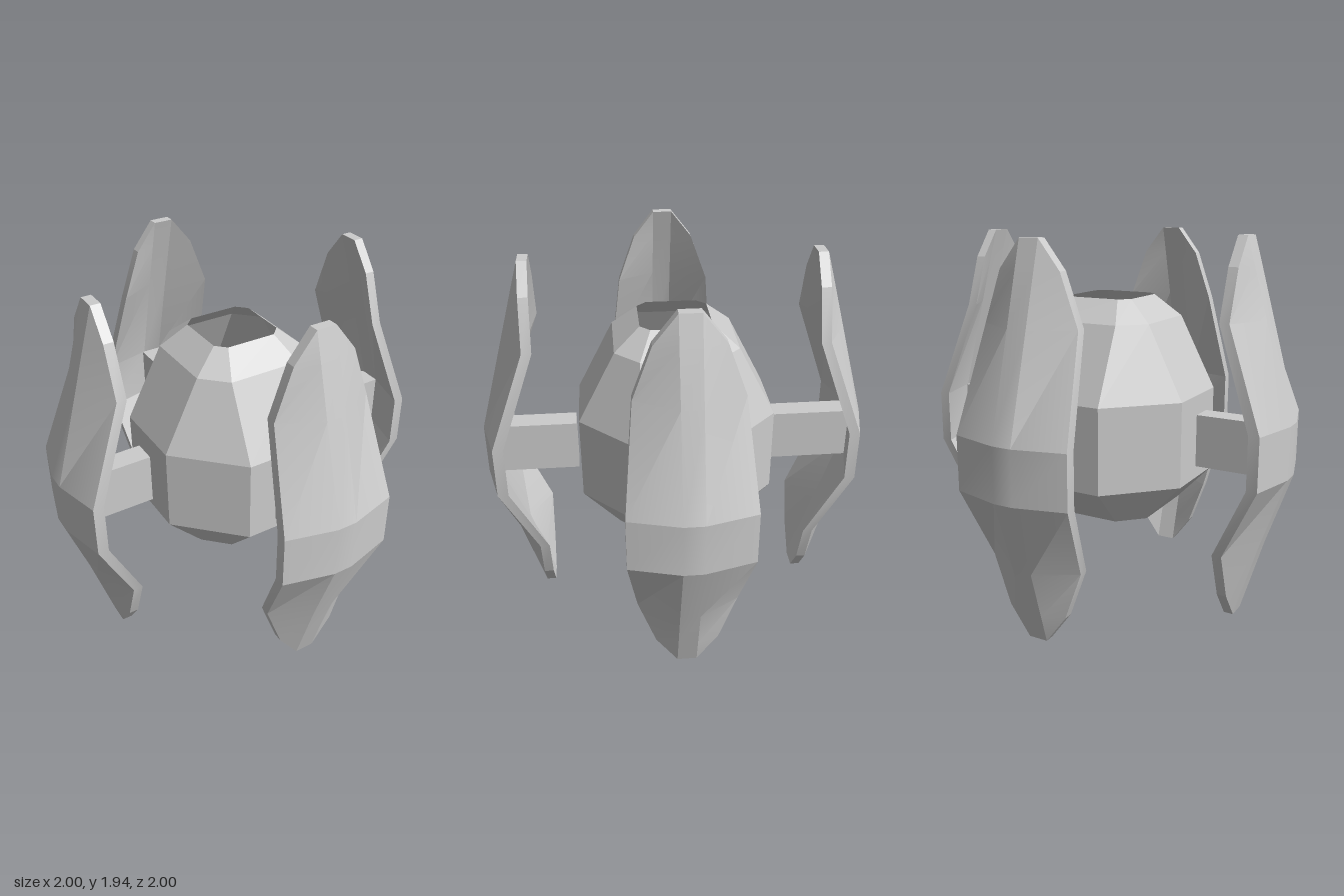
import * as THREE from 'three';
import { toCreasedNormals } from 'three/addons/utils/BufferGeometryUtils.js';

// Skin a stack of closed rings (bottom to top, anticlockwise seen from above).
function loft(rings, capTop) {
  const n = rings[0].length;
  const index = [];
  for (let i = 0; i < rings.length - 1; i++) {
    for (let j = 0; j < n; j++) {
      const a = i * n + j, b = i * n + (j + 1) % n;
      index.push(a, b, b + n, a, b + n, a + n);
    }
  }
  const top = (rings.length - 1) * n;
  for (let j = 1; j < n - 1; j++) {
    index.push(0, j + 1, j);
    if (capTop) index.push(top, top + j, top + j + 1);
  }
  const geometry = new THREE.BufferGeometry();
  geometry.setAttribute('position', new THREE.Float32BufferAttribute(rings.flat(2), 3));
  geometry.setIndex(index);
  return geometry.toNonIndexed();
}

// Octagon: a = distance to the main sides, c = half their length.
const octagon = ([y, a, c]) => [
  [a, y, c], [a, y, -c], [c, y, -a], [-c, y, -a],
  [-a, y, -c], [-a, y, c], [-c, y, a], [c, y, a],
];

// Panel section: w = half width, edge and mid = outer face at rim and centre.
const panelRing = ([y, w, edge, mid, t]) => {
  const s = 0.05;
  return [
    [edge, y, w], [mid, y, s], [mid, y, -s], [edge, y, -w],
    [edge - t, y, -w], [mid - t, y, -s], [mid - t, y, s], [edge - t, y, w],
  ];
};

export function createModel() {
  const group = new THREE.Group();

  // Faceted hull, open at the top
  const hull = loft([
    [0.45, 0.18, 0.13], [0.5, 0.31, 0.19], [0.7, 0.5, 0.2],
    [1.14, 0.5, 0.2], [1.51, 0.31, 0.19], [1.62, 0.18, 0.13],
  ].map(octagon), false);
  hull.computeVertexNormals();
  const body = new THREE.Mesh(hull, new THREE.MeshStandardMaterial({
    color: 0xcccccc, flatShading: true, side: THREE.DoubleSide,
  }));
  body.name = 'body';
  group.add(body);

  // Bowed shield panel, tapering towards both ends
  const panelGeometry = toCreasedNormals(loft([
    [0, 0.05, 0.75, 0.75, 0.05],
    [0.15, 0.16, 0.75, 0.795, 0.05],
    [0.4, 0.25, 0.75, 0.87, 0.05],
    [0.78, 0.3, 0.935, 1, 0.055],
    [1.05, 0.3, 0.935, 1, 0.055],
    [1.55, 0.25, 0.75, 0.86, 0.05],
    [1.8, 0.16, 0.75, 0.79, 0.05],
    [1.94, 0.05, 0.75, 0.75, 0.05],
  ].map(panelRing), true), 0.262);
  const armGeometry = new THREE.BoxGeometry(0.44, 0.27, 0.12).translate(0.74, 0.915, 0);
  const grey = new THREE.MeshStandardMaterial({ color: 0xcccccc });

  // Four panels on arms around the hull
  ['left', 'back', 'right', 'front'].forEach((side, i) => {
    const wing = new THREE.Group();
    wing.name = side + 'Wing';
    const panel = new THREE.Mesh(panelGeometry, grey);
    panel.name = side + 'Panel';
    const arm = new THREE.Mesh(armGeometry, grey);
    arm.name = side + 'Arm';
    wing.add(panel, arm);
    wing.rotation.y = i * Math.PI / 2;
    group.add(wing);
  });

  return group;
}
